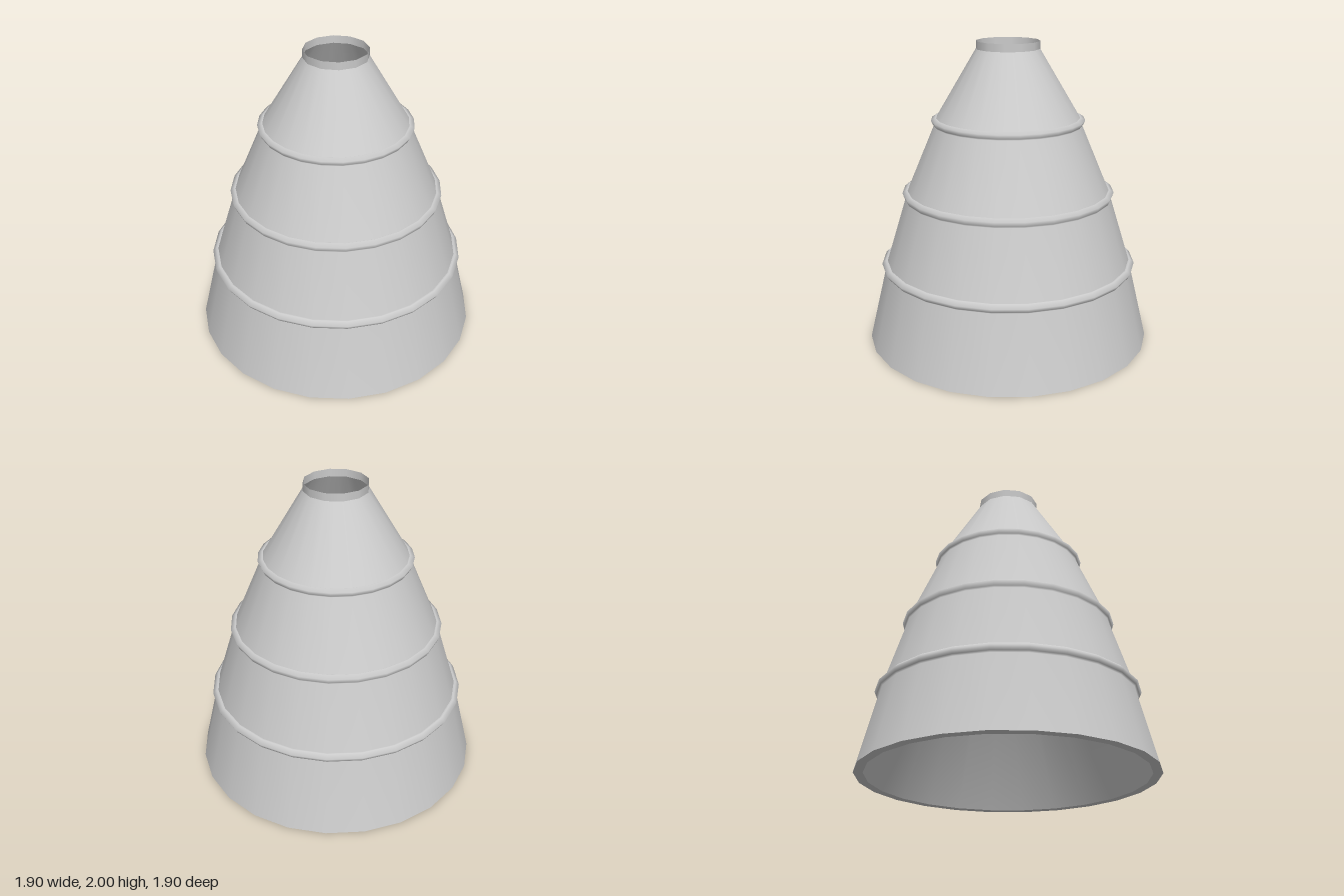
import * as THREE from 'three';

const SIDES = 24;

export function createModel() {
  const group = new THREE.Group();
  const material = new THREE.MeshStandardMaterial({ color: 0xcccccc, side: THREE.DoubleSide });

  // Revolve [radius, height] pairs around the vertical axis
  const turn = (name, pairs, sides = SIDES, start = 0) => {
    const points = pairs.map(([r, y]) => new THREE.Vector2(r, y));
    const mesh = new THREE.Mesh(new THREE.LatheGeometry(points, sides, start), material);
    mesh.name = name;
    group.add(mesh);
    return mesh;
  };

  // Three stacked wall tiers, each flaring smoothly into a bead with its peak near the top
  turn('lowerTier', [[0.95, 0], [0.832, 0.49], [0.842, 0.5], [0.855, 0.525], [0.83, 0.55], [0.81, 0.545]]);
  turn('middleTier', [[0.82, 0.54], [0.685, 0.975], [0.692, 0.985], [0.703, 1.015], [0.675, 1.033], [0.66, 1.025]]);
  turn('upperTier', [[0.672, 1.02], [0.485, 1.46], [0.492, 1.47], [0.503, 1.497], [0.475, 1.512], [0.455, 1.505]]);

  // Shoulder narrowing from 24 sides to the 12-sided neck
  const neckRadius = 0.207;
  const shoulder = turn('shoulder', [[0.475, 1.5], [neckRadius, 1.95]]);
  const pos = shoulder.geometry.attributes.position;
  const flat = Math.cos(Math.PI / 12);
  for (let i = 0; i <= SIDES; i += 2) {
    const k = i * 2 + 1;
    pos.setX(k, pos.getX(k) * flat);
    pos.setZ(k, pos.getZ(k) * flat);
  }

  // Open neck
  turn('neck', [[neckRadius, 1.95], [neckRadius, 2]], 12, Math.PI / 12);

  // Base rim and the tapering hollow inside with its closed top
  turn('baseRim', [[0.89, 0], [0.95, 0]]);
  turn('innerShell', [[0, 1.25], [0.31, 1.25], [0.89, 0]]);

  return group;
}
